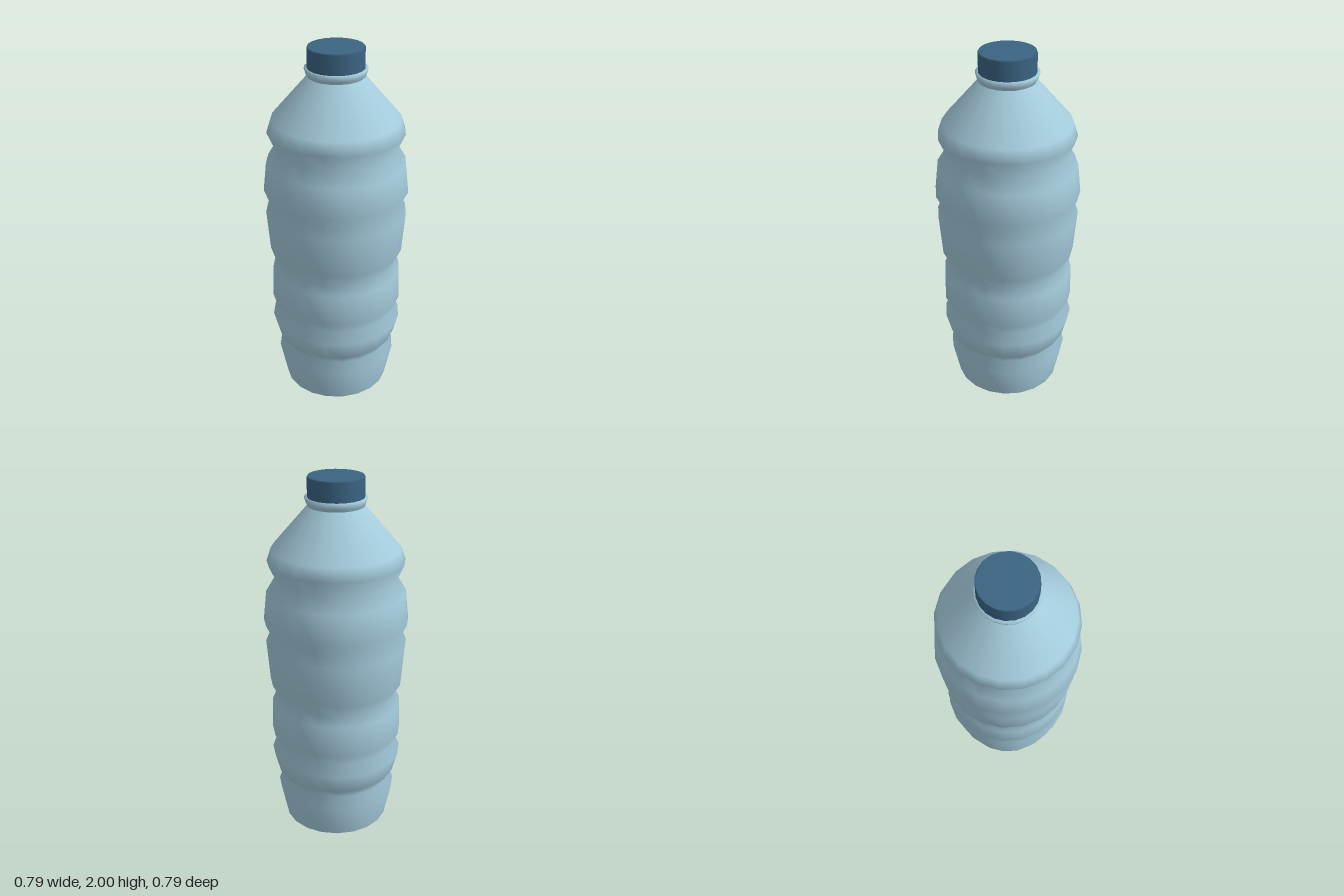
import * as THREE from 'three';

const SIDES = 20;

// Turn a list of [radius, height] points around the y axis
function turned(name, profile, color) {
  const points = profile.map(([r, y]) => new THREE.Vector2(r, y));
  const material = new THREE.MeshStandardMaterial({ color, side: THREE.DoubleSide });
  const mesh = new THREE.Mesh(new THREE.LatheGeometry(points, SIDES), material);
  mesh.name = name;
  return mesh;
}

export function createModel() {
  const bottle = new THREE.Group();
  bottle.name = 'bottle';

  // Ribbed body, open underneath, with sloping shoulder
  bottle.add(turned('body', [
    [0.295, 0], [0.335, 0.195], [0.297, 0.25],
    [0.338, 0.31], [0.367, 0.42], [0.33, 0.48],
    [0.365, 0.55], [0.36, 0.73], [0.325, 0.78],
    [0.368, 0.86], [0.386, 1.09], [0.36, 1.15],
    [0.394, 1.22], [0.376, 1.38], [0.328, 1.46],
    [0.368, 1.55], [0.345, 1.62], [0.15, 1.845],
  ], 0xa4cbdc));

  // Flared collar below the cap
  bottle.add(turned('neckRing', [
    [0.15, 1.845], [0.157, 1.86], [0.166, 1.89], [0.14, 1.89],
  ], 0xa4cbdc));

  // Screw cap with a softly shaded flat top
  bottle.add(turned('cap', [
    [0.15, 1.885], [0.15, 1.992], [0.146, 2], [0, 2],
  ], 0x3b6482));

  return bottle;
}
